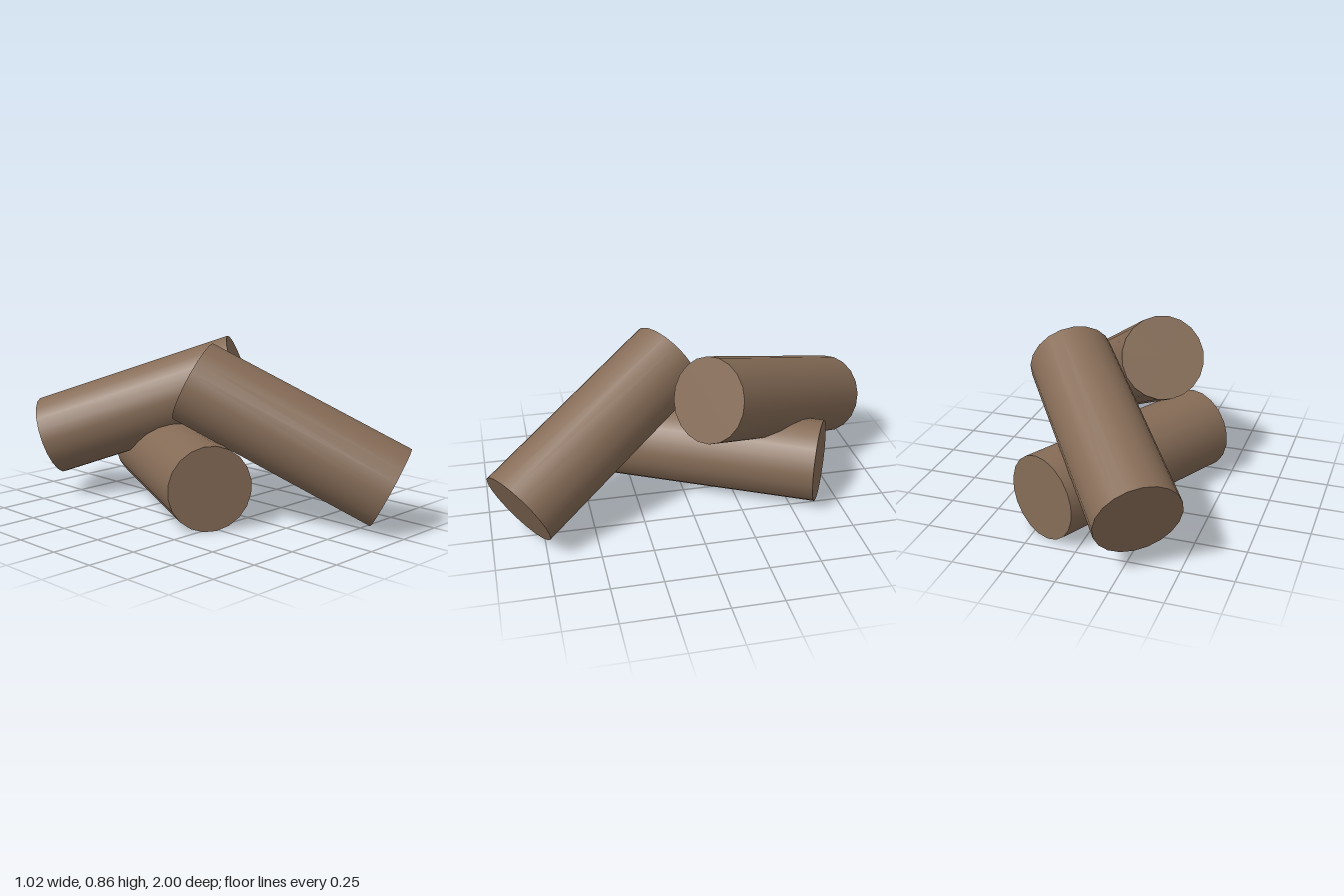
import * as THREE from 'three';

const RADIUS = 0.208;
const SIDES = 20;

// A round log whose axis runs between two end-cap centres
function makeLog(name, from, to, material) {
  const a = new THREE.Vector3(...from);
  const b = new THREE.Vector3(...to);
  const axis = b.clone().sub(a);
  const log = new THREE.Mesh(
    new THREE.CylinderGeometry(RADIUS, RADIUS, axis.length(), SIDES),
    material
  );
  log.name = name;
  log.position.copy(a).add(b).multiplyScalar(0.5);
  log.quaternion.setFromUnitVectors(new THREE.Vector3(0, 1, 0), axis.normalize());
  return log;
}

export function createModel() {
  const group = new THREE.Group();
  group.name = 'logPile';

  const wood = new THREE.MeshStandardMaterial({ color: 0x866c57 });
  wood.name = 'brown wood';

  group.add(
    // Log lying flat on the ground
    makeLog('groundLog', [-0.295, 0.208, 0.28], [0.195, 0.208, -0.665], wood),
    // Log leaning on it from the front
    makeLog('frontLeaningLog', [0.325, 0.21, 0.865], [-0.173, 0.68, 0.045], wood),
    // Log resting across it towards the back
    makeLog('backLeaningLog', [-0.339, 0.304, -0.867], [0.27, 0.656, -0.062], wood)
  );
  return group;
}
